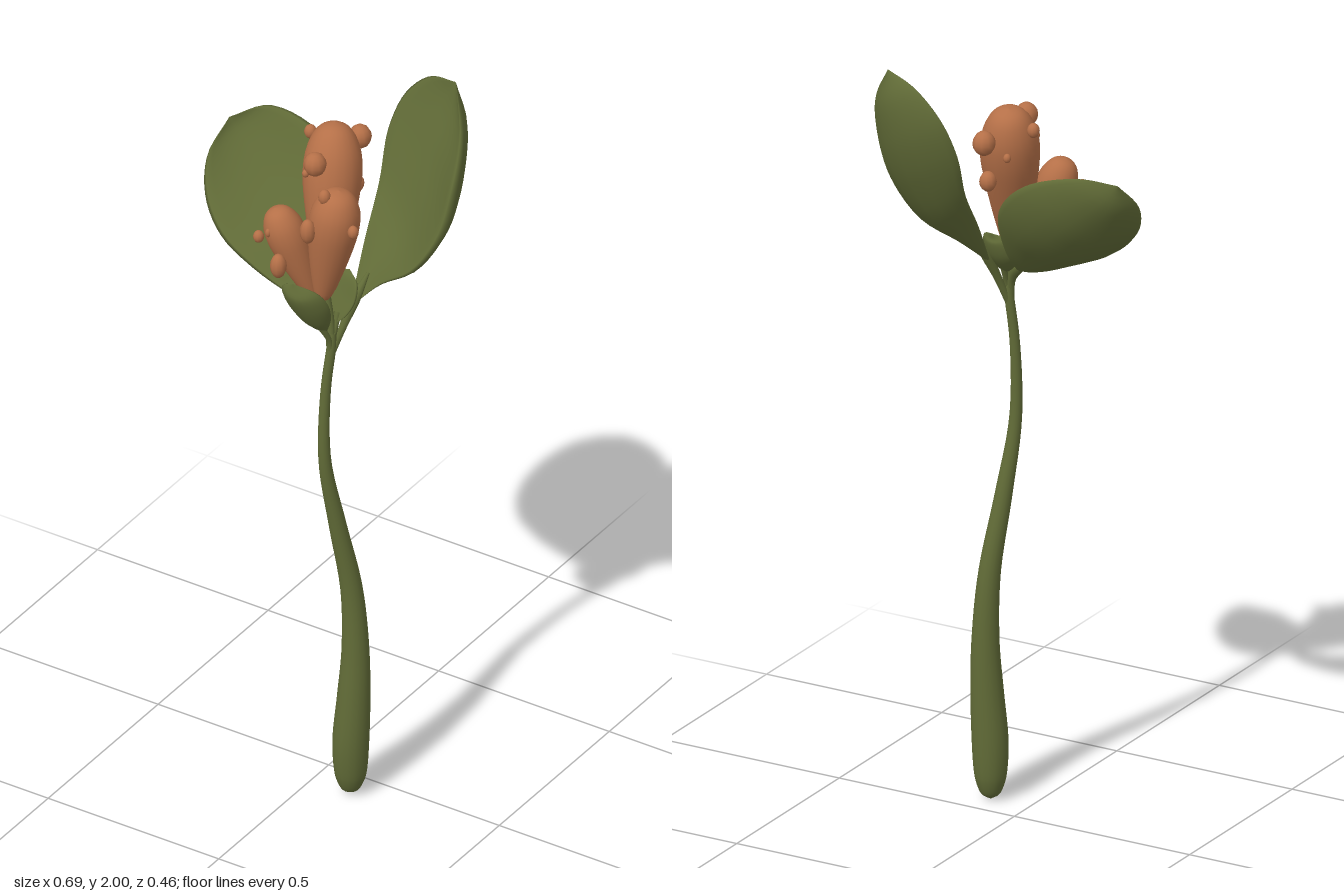
import * as THREE from 'three';

const V = (p) => new THREE.Vector3(p[0], p[1], p[2]);
const green = new THREE.MeshStandardMaterial({ color: 0x616b37 });
green.name = 'leaf green';
const brown = new THREE.MeshStandardMaterial({ color: 0xb57048 });
brown.name = 'bud brown';

// Skin over closed rings, each running anticlockwise about the growth direction
function loft(rings) {
  const n = rings[0].length, pos = [], idx = [];
  rings.forEach((ring) => ring.forEach((p) => pos.push(p.x, p.y, p.z)));
  for (let r = 0; r < rings.length - 1; r++) {
    for (let i = 0; i < n; i++) {
      const a = r * n + i, a1 = r * n + (i + 1) % n;
      idx.push(a, a1, a1 + n, a, a1 + n, a + n);
    }
  }
  const g = new THREE.BufferGeometry();
  g.setAttribute('position', new THREE.Float32BufferAttribute(pos, 3));
  g.setIndex(idx);
  g.computeVertexNormals();
  return g;
}

// Tapered tube through points [x, y, z, radius]
function stalk(points, steps, sides) {
  const path = new THREE.CatmullRomCurve3(points.map(V));
  const radii = new THREE.CatmullRomCurve3(points.map((p, i) => new THREE.Vector3(p[3], i * 0.05, 0)));
  const rings = [];
  for (let k = 0; k <= steps; k++) {
    const t = k / steps, c = path.getPoint(t), r = Math.max(radii.getPoint(t).x, 0.0005);
    const T = path.getTangent(t);
    const u = T.clone().cross(new THREE.Vector3(0, 0, 1)).normalize();
    const v = T.clone().cross(u);
    const ring = [];
    for (let i = 0; i < sides; i++) {
      const a = (i / sides) * Math.PI * 2;
      ring.push(c.clone().addScaledVector(u, Math.cos(a) * r).addScaledVector(v, Math.sin(a) * r));
    }
    rings.push(ring);
  }
  return loft(rings);
}

// Cupped blade between two edge curves sharing a base and a tip
function blade(base, edgeA, edgeB, tip, cup, thick) {
  const A = new THREE.CatmullRomCurve3([base, ...edgeA, tip].map(V));
  const B = new THREE.CatmullRomCurve3([base, ...edgeB, tip].map(V));
  const rings = [], steps = 28, sides = 20;
  for (let k = 0; k <= steps; k++) {
    const t = 0.002 + 0.996 * (k / steps);
    const a = A.getPoint(t), b = B.getPoint(t);
    const mid = a.clone().add(b).multiplyScalar(0.5);
    const half = b.clone().sub(a).multiplyScalar(0.5);
    const T = A.getTangent(t).add(B.getTangent(t));
    const N = T.cross(half).normalize();
    const w = half.length();
    const ring = [];
    for (let i = 0; i < sides; i++) {
      const q = (i / sides) * Math.PI * 2, s = Math.cos(q);
      const d = w * (cup * (1 - s * s) + thick * Math.sin(q));
      ring.push(mid.clone().addScaledVector(half, s).addScaledVector(N, d));
    }
    rings.push(ring);
  }
  return loft(rings);
}

// Club-shaped bud turned about its axis from base to top
function bud(base, top, radius) {
  const axis = V(top).sub(V(base)), L = axis.length();
  const shape = [[0, 0], [0.28, 0.015], [0.48, 0.13], [0.72, 0.33], [0.92, 0.54], [1, 0.69],
    [0.94, 0.82], [0.71, 0.925], [0.4, 0.98], [0, 1]];
  const curve = new THREE.SplineCurve(shape.map(([r, h]) => new THREE.Vector2(r * radius, h * L)));
  const pts = curve.getPoints(27).map((p) => new THREE.Vector2(Math.max(p.x, 0), p.y));
  const g = new THREE.LatheGeometry(pts, 20);
  g.applyQuaternion(new THREE.Quaternion().setFromUnitVectors(new THREE.Vector3(0, 1, 0), axis.normalize()));
  return g.translate(...base);
}

export function createModel() {
  const model = new THREE.Group();
  const add = (name, geometry, material) => {
    const m = new THREE.Mesh(geometry, material);
    m.name = name;
    model.add(m);
    return m;
  };

  // Stem with a swollen foot
  add('stem', stalk([
    [0.11, 0, 0.072, 0], [0.11, 0.015, 0.072, 0.024], [0.111, 0.06, 0.073, 0.04], [0.113, 0.15, 0.075, 0.046],
    [0.119, 0.28, 0.071, 0.042], [0.121, 0.42, 0.066, 0.035], [0.112, 0.6, 0.07, 0.028],
    [0.09, 0.8, 0.1, 0.022], [0.073, 1.0, 0.131, 0.016], [0.073, 1.2, 0.127, 0.013],
    [0.083, 1.33, 0.116, 0.012], [0.085, 1.37, 0.114, 0.009]], 60, 16), green);

  // Stalks joining the stem to leaves and buds
  const fork = [0.081, 1.3, 0.119, 0.009];
  const joints = {
    leftLeafStalk: [[0.1, 1.38, 0.09, 0.01], [0.115, 1.45, 0.058, 0.014], [0.128, 1.51, 0.018, 0.004]],
    rightLeafStalk: [[0.075, 1.37, 0.115, 0.01], [0.045, 1.415, 0.1, 0.014], [0.0, 1.445, 0.08, 0.004]],
    frontBractStalk: [[0.083, 1.35, 0.125, 0.007], [0.072, 1.4, 0.147, 0.009]],
    backBractStalk: [[0.086, 1.36, 0.11, 0.007], [0.085, 1.42, 0.09, 0.009]],
    budStalk: [[0.08, 1.38, 0.112, 0.009], [0.06, 1.485, 0.108, 0.011]],
  };
  for (const [name, pts] of Object.entries(joints)) add(name, stalk([fork, ...pts], 14, 10), green);

  // Two broad leaves
  add('leftLeaf', blade([0.105, 1.425, 0.065],
    [[0.085, 1.56, -0.03], [0.068, 1.68, -0.125], [0.06, 1.8, -0.177], [0.09, 1.9, -0.207], [0.16, 1.973, -0.212]],
    [[0.17, 1.495, 0.035], [0.27, 1.57, 0.034], [0.334, 1.68, 0.012], [0.344, 1.79, -0.034], [0.322, 1.9, -0.105]],
    [0.25, 2.0, -0.19], 0.37, 0.2), green);
  add('rightLeaf', blade([0.05, 1.405, 0.1],
    [[-0.05, 1.436, 0.109], [-0.15, 1.478, 0.114], [-0.25, 1.53, 0.102], [-0.317, 1.6, 0.068], [-0.346, 1.685, 0.015]],
    [[0.03, 1.505, 0.0], [0.0, 1.625, -0.08], [-0.06, 1.705, -0.125], [-0.14, 1.76, -0.142], [-0.255, 1.788, -0.125]],
    [-0.33, 1.762, -0.06], 0.34, 0.18), green);

  // Two small bracts
  add('frontBract', blade([0.078, 1.375, 0.133],
    [[0.1, 1.43, 0.145], [0.106, 1.485, 0.166], [0.09, 1.525, 0.19]],
    [[0.025, 1.42, 0.16], [-0.004, 1.48, 0.185], [-0.002, 1.53, 0.208]],
    [0.035, 1.553, 0.217], 0.36, 0.3), green);
  add('backBract', blade([0.086, 1.39, 0.105],
    [[0.05, 1.42, 0.085], [0.028, 1.465, 0.062], [0.042, 1.505, 0.045]],
    [[0.114, 1.42, 0.098], [0.13, 1.455, 0.084], [0.125, 1.5, 0.065]],
    [0.088, 1.517, 0.04], 0.25, 0.24), green);

  // Three buds, each flecked with round bumps [x, y, z, radius, stretch]
  const buds = [
    { name: 'tallBud', base: [0.052, 1.465, 0.086], top: [0.002, 1.888, -0.024], r: 0.074,
      bumps: [[0.018, 1.83, 0.09, 0.029, 1.1], [0.031, 1.815, -0.095, 0.029, 1.1], [0.04, 1.7, -0.06, 0.022, 1.2],
        [-0.063, 1.84, -0.015, 0.016, 1.2], [-0.016, 1.785, 0.08, 0.009, 1.2], [-0.025, 1.78, -0.078, 0.01, 1.2]] },
    { name: 'leftBud', base: [0.058, 1.465, 0.118], top: [0.1, 1.79, 0.107], r: 0.064,
      bumps: [[0.16, 1.705, 0.137, 0.014, 1.3], [0.077, 1.78, 0.138, 0.016, 1.3], [0.051, 1.69, 0.174, 0.02, 1.7]] },
    { name: 'rightBud', base: [0.026, 1.455, 0.11], top: [-0.06, 1.708, 0.152], r: 0.051,
      bumps: [[-0.088, 1.63, 0.182, 0.014, 1.2], [-0.025, 1.57, 0.19, 0.021, 1.6], [-0.056, 1.655, 0.188, 0.008, 1.5]] },
  ];
  for (const b of buds) {
    add(b.name, bud(b.base, b.top, b.r), brown);
    b.bumps.forEach(([x, y, z, r, stretch], i) => {
      const m = add(`${b.name}Bump${i + 1}`, new THREE.SphereGeometry(r, 10, 8), brown);
      m.position.set(x, y, z);
      m.scale.y = stretch;
    });
  }
  return model;
}
